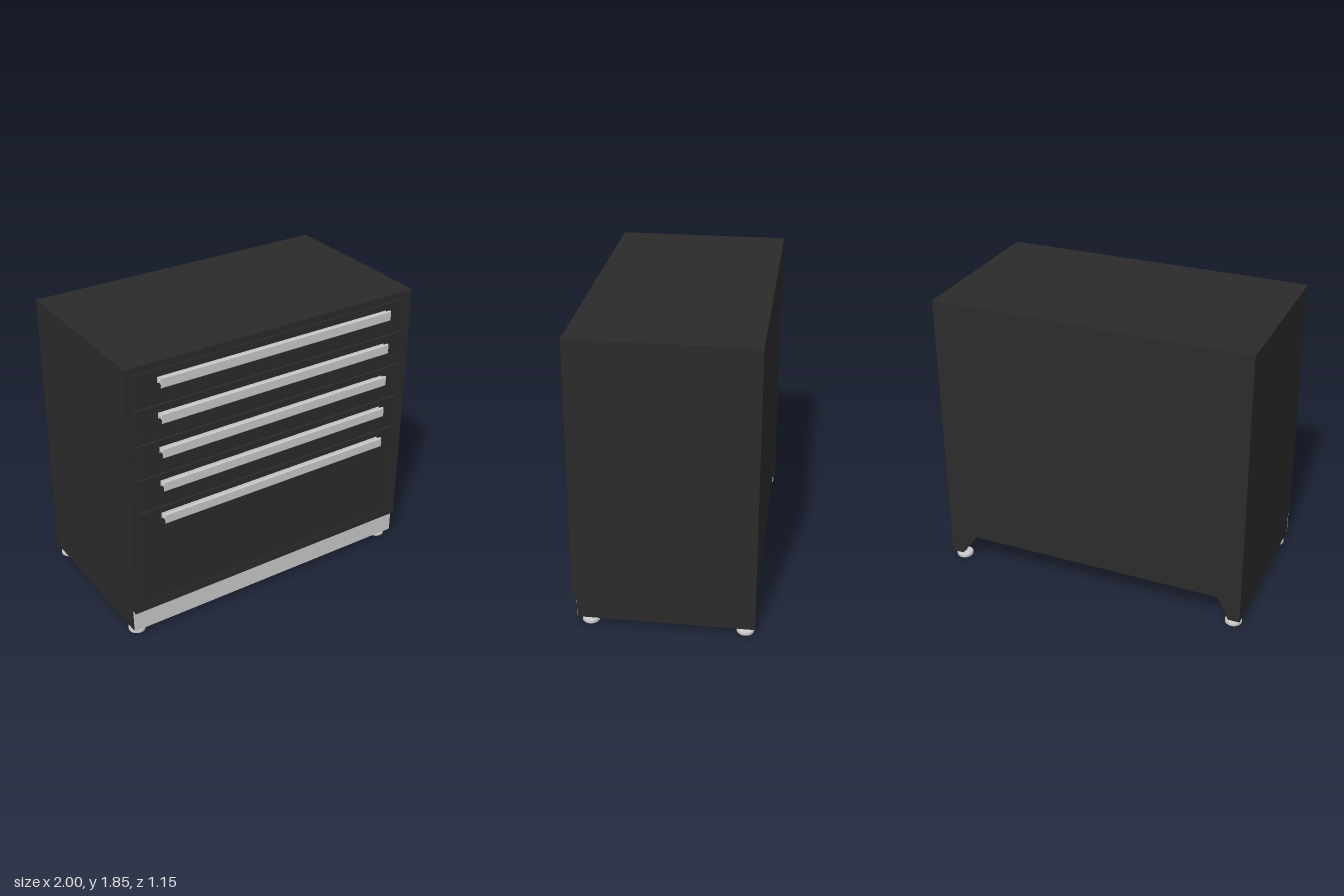
import * as THREE from 'three';

const grey = new THREE.MeshStandardMaterial({ color: 0xcccccc });
const black = new THREE.MeshStandardMaterial({ color: 0x2b2b2b });

function add(parent, name, geometry, material, x = 0, y = 0, z = 0) {
  const mesh = new THREE.Mesh(geometry, material);
  mesh.name = name;
  mesh.position.set(x, y, z);
  parent.add(mesh);
  return mesh;
}

// Box given by its minimum and maximum corners
function box(parent, name, material, [x0, y0, z0], [x1, y1, z1]) {
  return add(parent, name, new THREE.BoxGeometry(x1 - x0, y1 - y0, z1 - z0), material,
    (x0 + x1) / 2, (y0 + y1) / 2, (z0 + z1) / 2);
}

function polygon(points) {
  return new THREE.Shape(points.map(([x, y]) => new THREE.Vector2(x, y)));
}

function extrude(shape, depth) {
  return new THREE.ExtrudeGeometry(shape, { depth, bevelEnabled: false, curveSegments: 8 });
}

// Handle rail: half of the section as [z, y], mirrored about its web
function handleGeometry() {
  const half = [[0, 0.018], [0.004, 0.018], [0.008, 0.007], [0.036, 0.007], [0.041, 0.014],
    [0.041, 0.027], [0.036, 0.029], [0.036, 0.032], [0.046, 0.032], [0.05, 0.027]];
  const mirrored = half.map(([z, y]) => [z, -y]).reverse();
  const geometry = extrude(polygon([...half, ...mirrored]), 1.6);
  geometry.rotateY(-Math.PI / 2);
  geometry.translate(0.8, 0, 0);
  return geometry;
}

export function createModel() {
  const model = new THREE.Group();
  model.name = 'drawerCabinet';
  const back = -0.575, front = 0.525, baseFront = 0.5;

  // Carcass and the front frame around the drawers
  box(model, 'carcass', black, [-1, 0.2, back], [1, 1.85, 0.5]);
  const frame = polygon([[-1, 0.2], [1, 0.2], [1, 1.85], [-1, 1.85]]);
  frame.holes.push(polygon([[-0.95, 0.25], [-0.95, 1.805], [0.95, 1.805], [0.95, 0.25]]));
  add(model, 'frontFrame', extrude(frame, 0.025), black, 0, 0, 0.5);

  // Drawers, from the top down
  const edges = [1.805, 1.583, 1.358, 1.133, 0.908, 0.25];
  const rail = handleGeometry();
  for (let i = 0; i < 5; i++) {
    const drawer = new THREE.Group();
    drawer.name = `drawer${i + 1}`;
    box(drawer, 'drawerFront', black, [-0.942, edges[i + 1] + 0.006, 0.49], [0.942, edges[i] - 0.006, front]);
    add(drawer, 'handle', rail, grey, 0, 1.738 - i * 0.2225, front);
    model.add(drawer);
  }

  // Lock above the top drawer
  const barrel = new THREE.CylinderGeometry(0.014, 0.014, 0.01, 24).rotateX(Math.PI / 2);
  add(model, 'lockBarrel', barrel, black, 0, 1.827, front + 0.003);
  add(model, 'lockRing', new THREE.TorusGeometry(0.014, 0.004, 8, 24), black, 0, 1.827, front + 0.006);
  box(model, 'keySlot', black, [-0.002, 1.819, front], [0.002, 1.835, front + 0.01]);

  // Base: kick plate, side channels and corner gussets
  box(model, 'kickPlate', grey, [-1, 0.05, baseFront - 0.012], [1, 0.2, baseFront]);
  for (const s of [-1, 1]) {
    const side = new THREE.Group();
    side.name = s > 0 ? 'leftBase' : 'rightBase';
    const x0 = Math.min(s, s * 0.988), flangeX = [s, s * 0.925].sort((a, b) => a - b);
    box(side, 'sidePlate', black, [x0, 0.05, back], [x0 + 0.012, 0.2, baseFront - 0.0005]);
    box(side, 'bottomFlange', black, [flangeX[0], 0.05, back], [flangeX[1], 0.06, baseFront - 0.012]);
    const gusset = extrude(polygon([[s, 0.05], [s, 0.2], [s * 0.855, 0.2], [s * 0.925, 0.05]]), 0.012);
    add(side, 'backGusset', gusset, black, 0, 0, back);
    add(side, 'frontGusset', gusset, black, 0, 0, baseFront - 0.024);

    // Levelling feet
    for (const z of [0.425, -0.515]) {
      const foot = new THREE.Group();
      foot.name = 'levellingFoot';
      foot.position.set(s * 0.945, 0, z);
      const profile = [[0, 0], [0.05, 0], [0.053, 0.003], [0.053, 0.02], [0.048, 0.025], [0, 0.028]];
      const pad = new THREE.LatheGeometry(profile.map(([r, y]) => new THREE.Vector2(r, y)), 32);
      add(foot, 'footPad', pad, grey);
      add(foot, 'footStem', new THREE.CylinderGeometry(0.014, 0.014, 0.05, 16), grey, 0, 0.045, 0);
      side.add(foot);
    }
    model.add(side);
  }
  return model;
}
